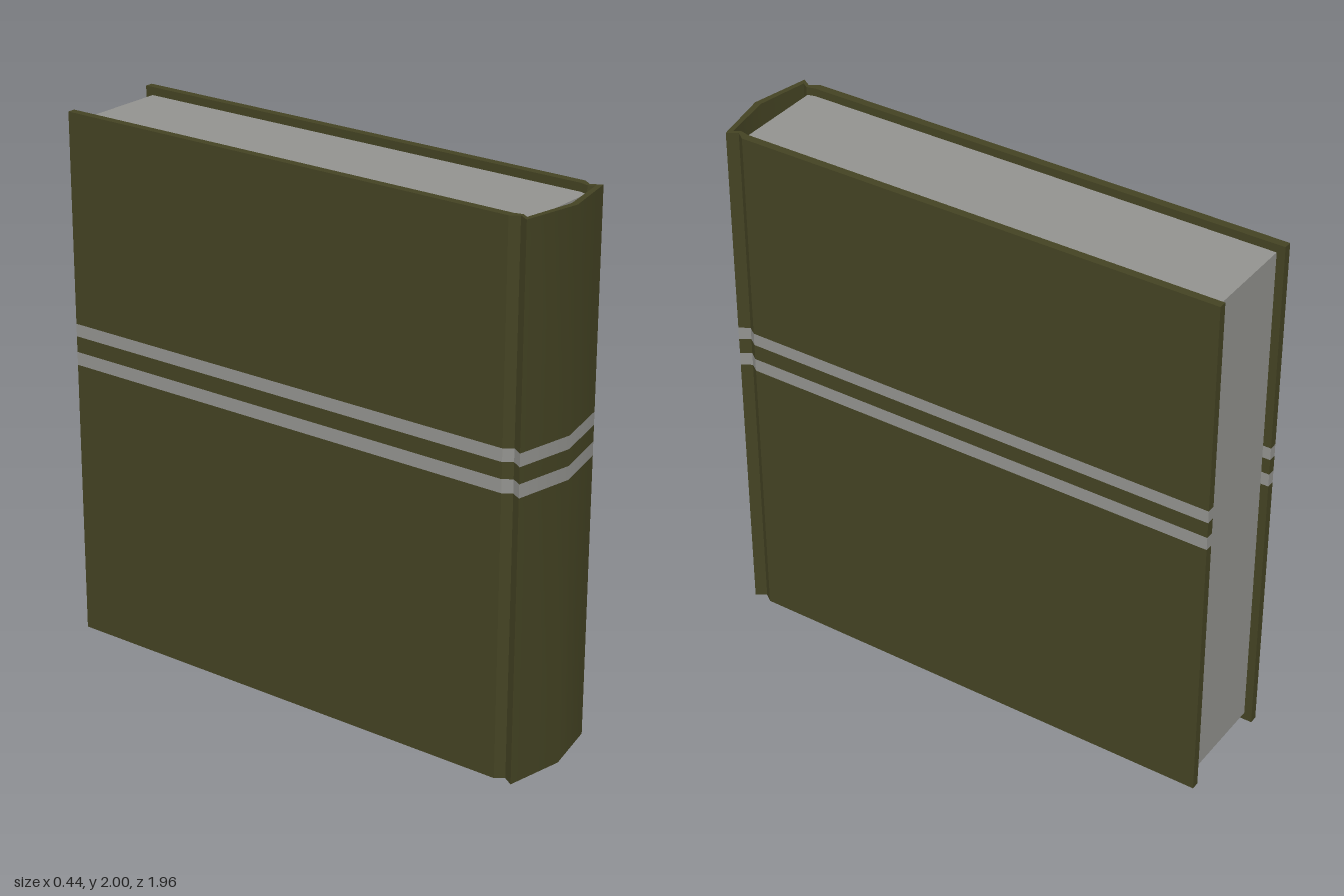
import * as THREE from 'three';
import { toCreasedNormals } from 'three/addons/utils/BufferGeometryUtils.js';

function material(name, color) {
  const m = new THREE.MeshStandardMaterial({ color });
  m.name = name;
  return m;
}

// Height of each boundary between the cloth and the two stripes
const LEVELS = [0, 1.055, 1.105, 1.165, 1.213, 2];

// Cover outline seen from above, right half as [x, z]; mirrored for the left
const OUTER = [[0.22, -0.98], [0.22, 0.862], [0.197, 0.893], [0.22, 0.93], [0, 0.975]];
const INNER = [[0, 0.952], [0.197, 0.916], [0.182, 0.893], [0.19, 0.862], [0.19, -0.98]];

function coverGeometry() {
  const mirror = (list) => list.map(([x, z]) => [-x, z]).reverse();
  const outline = [...OUTER, ...mirror(OUTER).slice(1), ...mirror(INNER), ...INNER.slice(1)];
  const shape = new THREE.Shape(outline.map(([x, z]) => new THREE.Vector2(x, -z)));
  const steps = LEVELS.length - 1;
  let geometry = new THREE.ExtrudeGeometry(shape, { depth: steps, steps, bevelEnabled: false });
  geometry.rotateX(-Math.PI / 2);

  // Move the evenly spaced rings to the stripe heights
  const pos = geometry.attributes.position;
  for (let i = 0; i < pos.count; i++) pos.setY(i, LEVELS[Math.round(pos.getY(i))]);
  geometry = toCreasedNormals(geometry, 0.42);

  // Colour each triangle by its height: bands 1 and 3 are stripes
  geometry.clearGroups();
  const p = geometry.attributes.position;
  for (let i = 0; i < p.count; i += 3) {
    const y = (p.getY(i) + p.getY(i + 1) + p.getY(i + 2)) / 3;
    const stripe = (y > LEVELS[1] && y < LEVELS[2]) || (y > LEVELS[3] && y < LEVELS[4]);
    geometry.addGroup(i, 3, stripe ? 1 : 0);
  }
  return geometry;
}

export function createModel() {
  const cloth = material('olive cloth', 0x444323);
  const paper = material('grey paper', 0x93938f);
  const book = new THREE.Group();
  book.name = 'book';

  // Boards, hinges and pointed spine in one folded piece
  const cover = new THREE.Mesh(coverGeometry(), [cloth, paper]);
  cover.name = 'cover';
  book.add(cover);

  // Page block, set back from the cover edges
  const pages = new THREE.Mesh(new THREE.BoxGeometry(0.38, 1.94, 1.84), paper);
  pages.name = 'pages';
  pages.position.set(0, 1, -0.03);
  book.add(pages);

  return book;
}
